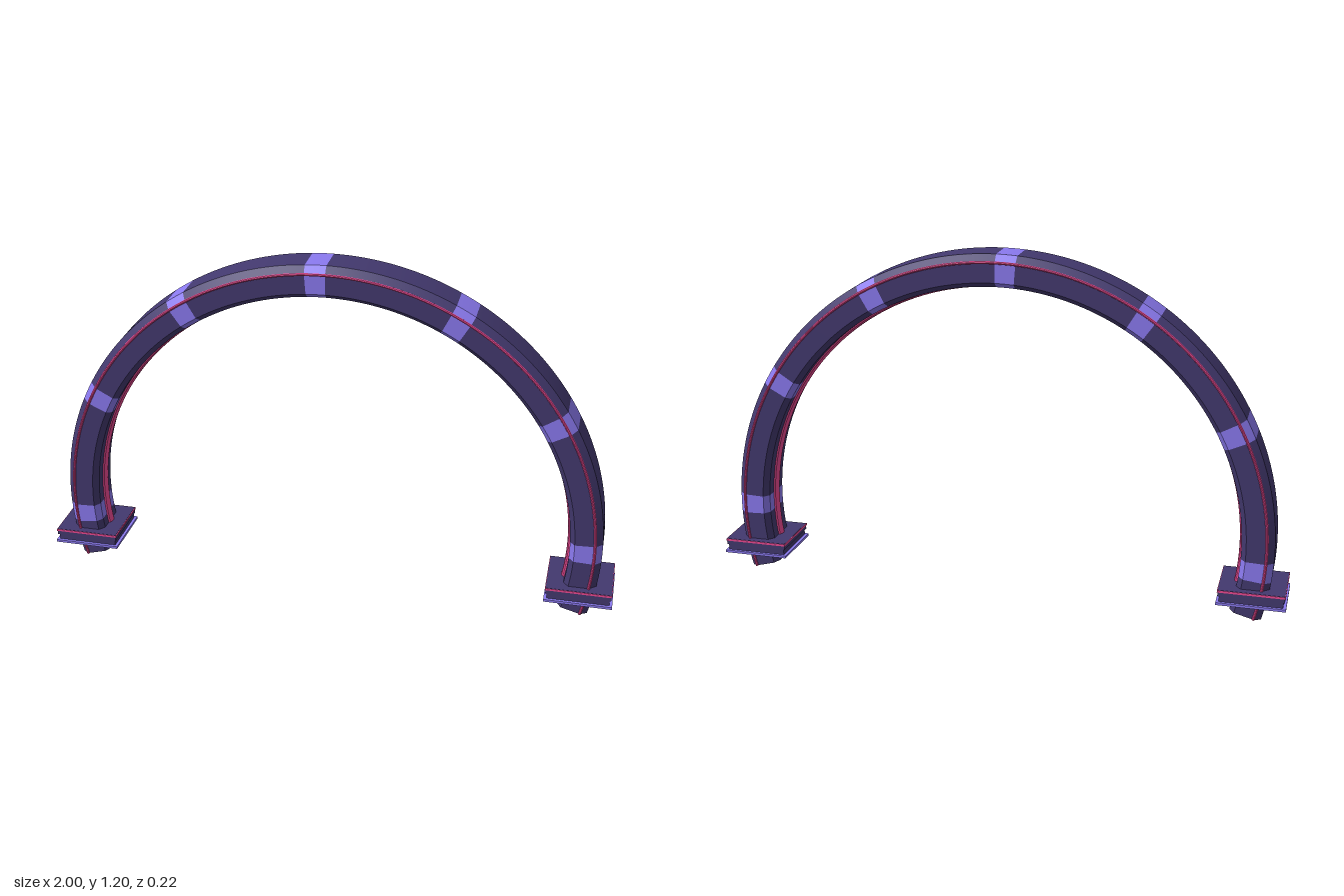
import * as THREE from 'three';
import { mergeGeometries, toCreasedNormals } from 'three/addons/utils/BufferGeometryUtils.js';

const DEG = Math.PI / 180;
const CENTRE_Y = 0.25;
const START = -15, END = 195;

const dark = new THREE.MeshStandardMaterial({ color: 0x43396f });
const violet = new THREE.MeshStandardMaterial({ color: 0x8b7af0 });
const pink = new THREE.MeshStandardMaterial({ color: 0xee4a94 });

function add(parent, name, geometry, material) {
  const mesh = new THREE.Mesh(geometry, material);
  mesh.name = name;
  parent.add(mesh);
  return mesh;
}

// Sweeps a closed (radius, z) profile around the arch axis between two angles in degrees
function sweep(profile, from, to) {
  const points = [...profile, profile[0]].map(([r, z]) => new THREE.Vector2(r, z));
  const steps = Math.max(2, Math.ceil((to - from) / 1.75));
  const geometry = new THREE.LatheGeometry(points, steps, (from + 90) * DEG, (to - from) * DEG);
  geometry.rotateX(Math.PI / 2);
  return toCreasedNormals(geometry, 0.5);
}

// Flat end of a sweep
function cap(profile, angle, side) {
  const shape = new THREE.Shape(profile.map(([r, z]) => new THREE.Vector2(r, z)));
  return new THREE.ShapeGeometry(shape).rotateX(side * Math.PI / 2).rotateZ(angle * DEG);
}

function cappedSweep(profile) {
  const parts = [sweep(profile, START, END), cap(profile, START, 1), cap(profile, END, -1)];
  return mergeGeometries(parts.map((g) => (g.index ? g.toNonIndexed() : g)));
}

// Rectangular ring lying flat, with its underside at y
function frame(w, d, wall, h, y) {
  const rect = (Path, a, b) => new Path([[-a, -b], [a, -b], [a, b], [-a, b]]
    .map(([px, py]) => new THREE.Vector2(px, py)));
  const shape = rect(THREE.Shape, w / 2, d / 2);
  shape.holes.push(rect(THREE.Path, w / 2 - wall, d / 2 - wall));
  return new THREE.ExtrudeGeometry(shape, { depth: h, bevelEnabled: false })
    .rotateX(-Math.PI / 2).translate(0, y, 0);
}

export function createModel() {
  const model = new THREE.Group();
  model.name = 'archway';

  const arch = new THREE.Group();
  arch.name = 'arch';
  arch.position.y = CENTRE_Y;
  model.add(arch);

  // Chamfered beam, split into dark stretches and violet bands
  const beam = [
    [0.84, -0.056], [0.857, -0.077], [0.927, -0.077], [0.95, -0.056],
    [0.95, 0.056], [0.927, 0.077], [0.857, 0.077], [0.84, 0.056],
  ];
  // Counter-clockwise order: inner side, back, outer side, front
  let angle = START;
  for (let i = 0; i < 7; i++) {
    const bandStart = -2.2 + i * 30.75;
    add(arch, 'beamSection', sweep(beam, angle, bandStart), dark);
    angle = bandStart + 4.3;
    add(arch, 'band', sweep(beam, bandStart, angle), violet);
  }
  add(arch, 'beamSection', sweep(beam, angle, END), dark);
  add(arch, 'beamEnd', cap(beam, START, 1), dark);
  add(arch, 'beamEnd', cap(beam, END, -1), dark);

  // Rounded strip along the inside of the arch
  const ring = (r, z, a, b, n) => Array.from({ length: n }, (_, i) => {
    const t = (i / n) * Math.PI * 2;
    return [r + a * Math.cos(t), z + b * Math.sin(t)];
  });
  add(arch, 'innerStrip', cappedSweep(ring(0.841, 0, 0.012, 0.02, 12)), pink);

  // Thin trim lines on the front and back
  for (const side of [1, -1]) {
    add(arch, 'edgeTrim', cappedSweep(ring(0.925, side * 0.079, 0.005, 0.005, 8)), pink);
  }

  // Collar around each foot
  for (const side of [1, -1]) {
    const collar = new THREE.Group();
    collar.name = side > 0 ? 'leftCollar' : 'rightCollar';
    collar.position.x = side * 0.884;
    add(collar, 'collarWall', frame(0.212, 0.2, 0.03, 0.034, 0.073), dark);
    add(collar, 'collarTop', new THREE.BoxGeometry(0.222, 0.022, 0.208).translate(0, 0.106, 0), dark);
    add(collar, 'collarTrim', frame(0.226, 0.212, 0.006, 0.007, 0.109), pink);
    add(collar, 'collarLip', frame(0.232, 0.22, 0.02, 0.009, 0.065), violet);
    model.add(collar);
  }

  return model;
}
